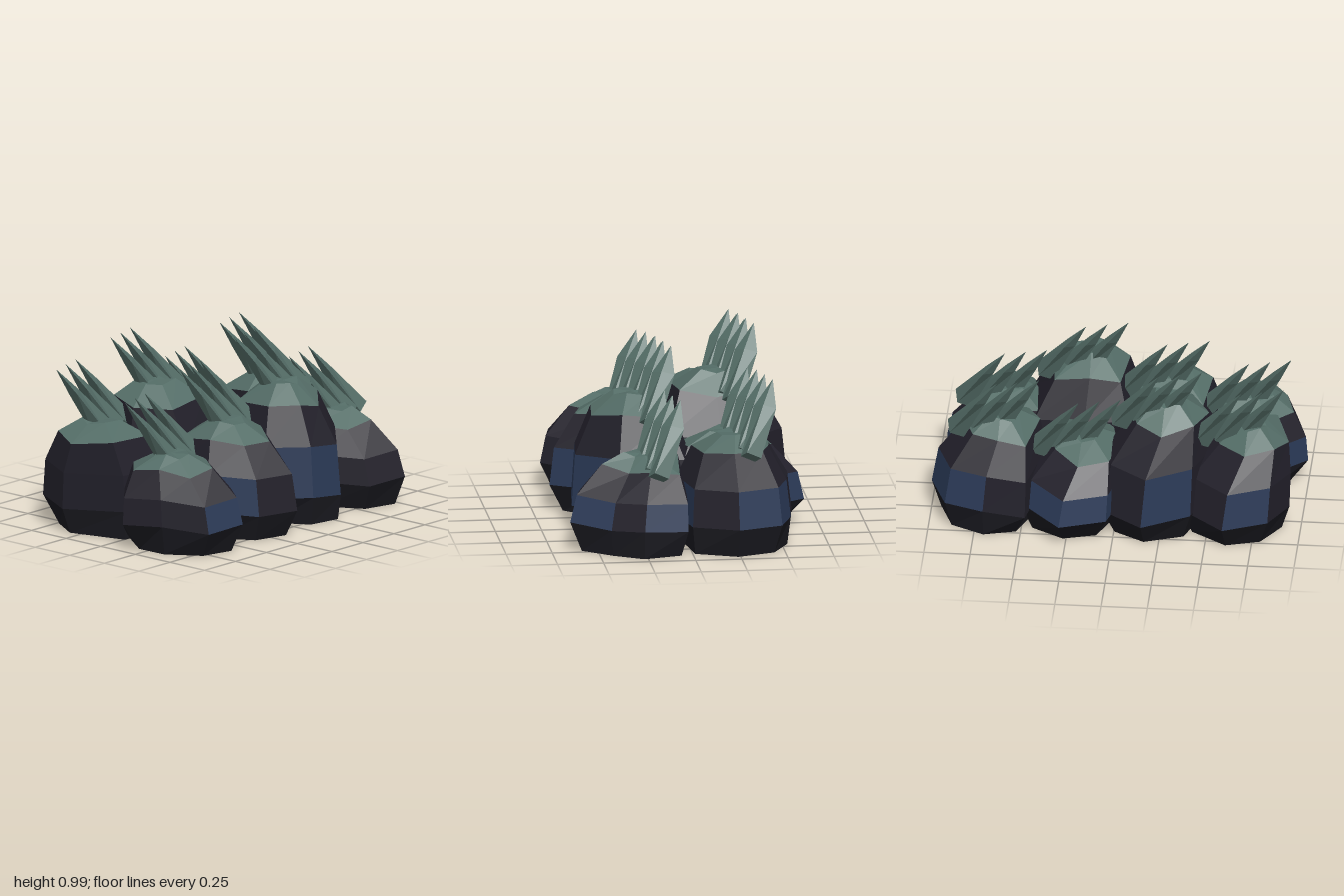
import * as THREE from 'three';

const material = (name, color) => {
  const m = new THREE.MeshStandardMaterial({ color, flatShading: true });
  m.name = name;
  return m;
};

// Outline of each boulder at its widest, as [x, z] corners, and the sides that carry a blue patch
const boulders = [
  { out: [[-.34, .36], [-.59, .66], [-.82, .62], [-.93, .38], [-1, .16], [-.76, -.05], [-.4, -.02]], blue: [1, 4] },
  { out: [[.08, .36], [-.15, .66], [-.38, .59], [-.54, .36], [-.49, -.01], [-.22, -.06], [.05, -.02]], blue: [0, 2] },
  { out: [[.52, .36], [.28, .59], [.08, .57], [-.1, .38], [-.05, -.01], [.2, -.06], [.49, -.02]], blue: [0, 1, 2] },
  { out: [[.96, .27], [.86, .44], [.73, .65], [.5, .6], [.36, .34], [.4, -.01], [.92, .03]], blue: [1, 6] },
  { out: [[-.34, -.25], [-.4, .04], [-.82, .02], [-.94, -.33], [-.84, -.56], [-.6, -.64], [-.38, -.44]], blue: [4] },
  { out: [[.1, -.26], [.05, .04], [-.36, .07], [-.52, -.22], [-.42, -.52], [-.16, -.63], [.05, -.5]], blue: [4] },
  { out: [[.52, -.26], [.48, .04], [.08, .07], [-.08, -.2], [.03, -.6], [.28, -.67], [.48, -.48]], blue: [3, 4, 5] },
  { out: [[1, -.24], [.87, 0], [.5, .06], [.38, -.2], [.47, -.58], [.7, -.55], [.91, -.48]], blue: [1, 5, 6] },
];
const capHeights = [.52, .62, .755];
const tipHeights = [.8, .9, .99];

const meshFrom = (name, triangles, mat) => {
  const geometry = new THREE.BufferGeometry();
  geometry.setAttribute('position', new THREE.Float32BufferAttribute(triangles.flat(), 3));
  geometry.computeVertexNormals();
  const mesh = new THREE.Mesh(geometry, mat);
  mesh.name = name;
  return mesh;
};

// Triangles between side k of two rings, and between a ring and a point
const side = (low, up, k) => {
  const n = (k + 1) % low.length;
  return [low[k], up[k], low[n], low[n], up[k], up[n]];
};
const fan = (ring, tip) => ring.flatMap((p, k) => [p, tip, ring[(k + 1) % ring.length]]);
const band = (low, up) => low.flatMap((_, k) => side(low, up, k));
const centre = (ring) => [0, 1, 2].map((a) => ring.reduce((s, p) => s + p[a], 0) / ring.length);

// Leaning leaf: its root measured from the tip, the direction of its width, and of its thickness
const rootCentre = [.235, -.37, .145];
const widthDir = [.5, 0, -.866];
const thickDir = [.7, .59, .41];

function bladeTriangles(tip) {
  const section = (along, width, thick) =>
    [[width, 0], [0, thick], [-width, 0], [0, -thick]].map(([w, t]) =>
      tip.map((v, a) => v + rootCentre[a] * along + widthDir[a] * w + thickDir[a] * t));
  const low = section(1, .06, .065);
  const mid = section(.36, .066, .028);
  return [...band(low, mid), ...fan(mid, tip), ...fan([...low].reverse(), centre(low))];
}

export function createModel() {
  const model = new THREE.Group();
  model.name = 'mossyBoulders';
  const base = material('darkBaseStone', 0x19191f);
  const stone = material('stone', 0x22202a);
  const patch = material('bluePatch', 0x2b3a57);
  const moss = material('moss', 0x546d67);

  boulders.forEach(({ out, blue }, i) => {
    const col = i % 4, row = Math.floor(i / 4);
    const type = (col + row) % 3, h = capHeights[type];
    const boulder = new THREE.Group();
    boulder.name = 'boulder' + (i + 1);

    // Rings climb from the belly and drift towards the middle of the moss cap
    const cx = out.reduce((s, p) => s + p[0], 0) / 7;
    const cz = out.reduce((s, p) => s + p[1], 0) / 7;
    const capX = -.72 + col * .447, capZ = row ? -.26 : .26;
    const ring = (y, scale, drift, wobble) => out.map(([x, z], k) => [
      cx + (capX - cx) * drift + (x - cx) * scale,
      y + wobble * Math.sin(k * 2.4 + i),
      cz + (capZ - cz) * drift + (z - cz) * scale,
    ]);
    // Feet are even ovals on a regular grid, kept inside the belly
    const footX = -.64 + col * .44, footZ = row ? -.22 : .27;
    const foot = out.map(([x, z]) => {
      const dx = x - footX, dz = z - footZ;
      const s = Math.min(.94, 1 / Math.hypot(dx / .27, dz / .32));
      return [footX + dx * s, 0, footZ + dz * s];
    });
    const wide = ring(.15, 1, 0, .012);
    const mid = ring(h * .57, .94, .25, .012);
    const edge = ring(h * .85, .66, 1, .02);
    const peak = ring(h * .98, .28, 1, .012);

    boulder.add(meshFrom('base', [...band(foot, wide), ...fan([...foot].reverse(), centre(foot))], base));
    const plain = out.map((_, k) => k).filter((k) => !blue.includes(k));
    boulder.add(meshFrom('body', [...band(mid, edge), ...plain.flatMap((k) => side(wide, mid, k))], stone));
    boulder.add(meshFrom('bluePatches', blue.flatMap((k) => side(wide, mid, k)), patch));
    boulder.add(meshFrom('mossCap', [...band(edge, peak), ...fan(peak, centre(peak))], moss));

    // Three leaning blades on every cap
    for (let j = 0; j < 3; j++) {
      const tip = [-.915 + col * .44 + j * .112, tipHeights[type], (row ? -.4 : .1) - j * .03];
      boulder.add(meshFrom('blade' + (j + 1), bladeTriangles(tip), moss));
    }
    model.add(boulder);
  });
  return model;
}
